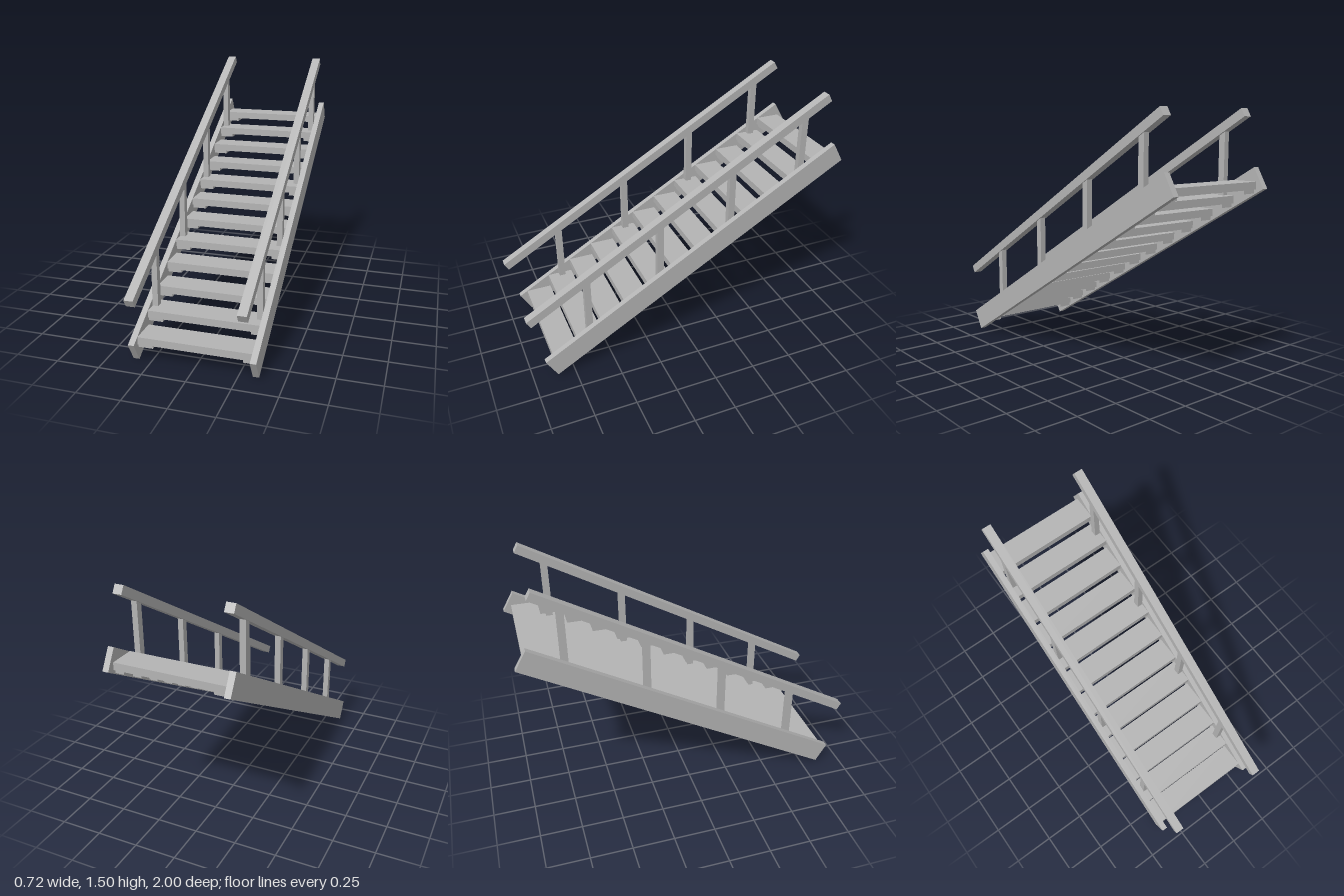
import * as THREE from 'three';

export function createModel() {
  const group = new THREE.Group();
  const grey = new THREE.MeshStandardMaterial({ color: 0xb4b4b4 });
  grey.name = 'grey';
  const slope = Math.PI / 6;

  function box(name, w, h, d, x, y, z, tilt = 0) {
    const mesh = new THREE.Mesh(new THREE.BoxGeometry(w, h, d), grey);
    mesh.name = name;
    mesh.position.set(x, y, z);
    mesh.rotation.x = tilt;
    group.add(mesh);
  }

  const rise = 0.0877, run = 0.1515, treadDepth = 0.155, treadHeight = 0.043;
  const treadTop = (i) => 0.143 + i * rise;
  const treadZ = (i) => 0.87 - i * run - treadDepth / 2;

  // Sloping side boards, handrails and posts on both sides
  for (const [side, s] of [['left', 1], ['right', -1]]) {
    box(side + 'Stringer', 0.035, 0.132, 2.14, s * 0.3425, 0.593, -0.04, slope);
    box(side + 'Handrail', 0.052, 0.05, 2.16, s * 0.306, 0.9385, 0.0525, slope);

    // Posts stand on every third tread and end inside the handrail
    for (let i = 0; i < 4; i++) {
      const z = 0.63 - i * 3 * run;
      const bottom = treadTop(1 + i * 3);
      const top = 0.9385 + (0.0525 - z) * Math.tan(slope);
      box(side + 'Post', 0.034, top - bottom, 0.04, s * 0.308, (top + bottom) / 2, z);
    }
  }

  // Open treads with a support cleat below each end
  for (let i = 0; i < 12; i++) {
    const y = treadTop(i), z = treadZ(i);
    box('tread', 0.652, treadHeight, treadDepth, 0, y - treadHeight / 2, z);
    const cleatY = y - treadHeight - 0.011;
    box('leftCleat', 0.053, 0.022, 0.13, 0.2995, cleatY, z);
    box('rightCleat', 0.085, 0.022, 0.13, -0.2835, cleatY, z);
  }

  return group;
}
